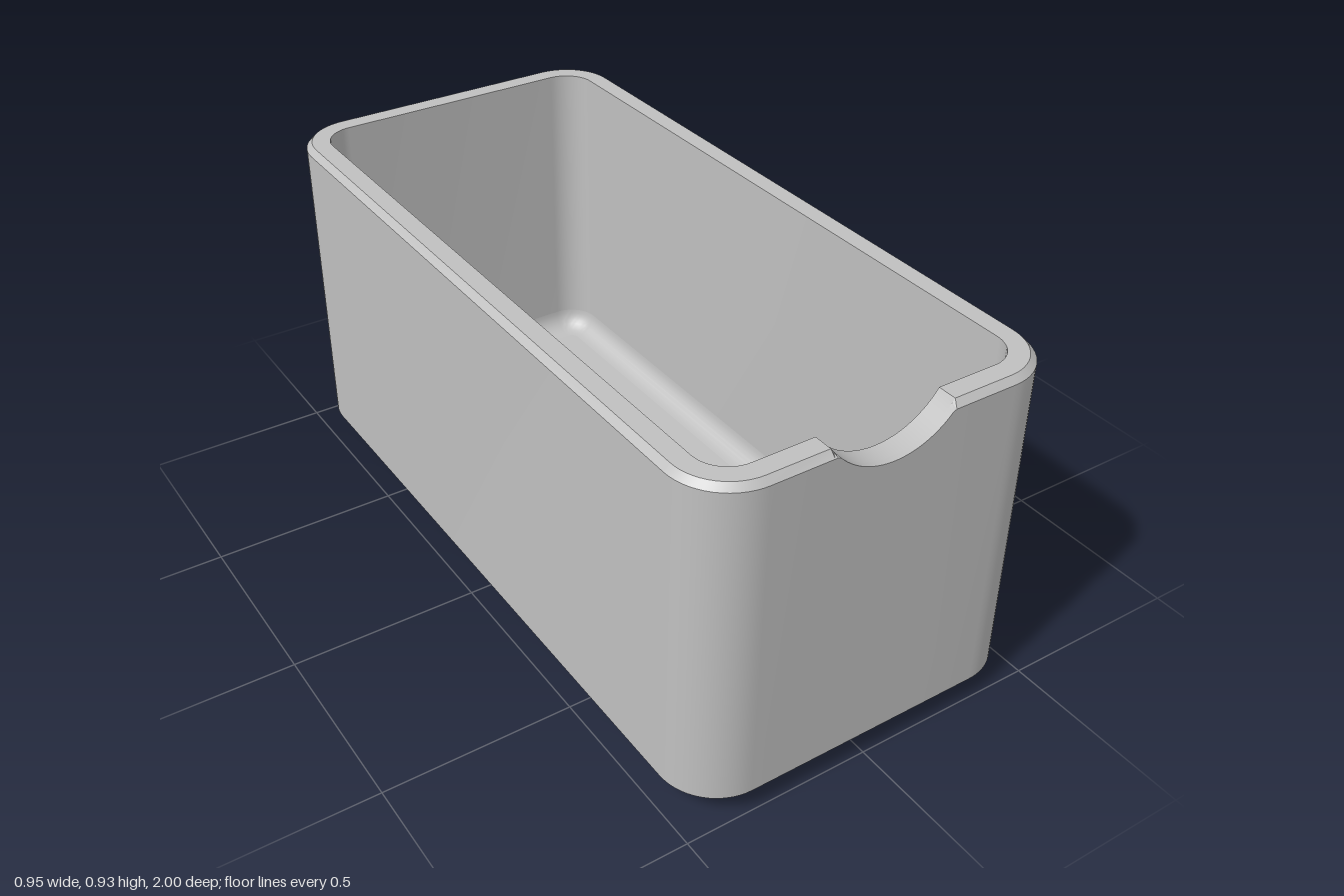
import * as THREE from 'three';
import { toCreasedNormals } from 'three/addons/utils/BufferGeometryUtils.js';

const HALF_X = 0.475, HALF_Z = 1, HEIGHT = 0.93;
const CORNER = 0.15, WALL = 0.065, FILLET = 0.06, FLOOR = 0.065;
const RIM = 0.016, BEVEL = 0.065;
const NOTCH_R = 0.2026, NOTCH_Y = 1.0476; // circle cut out of the front wall

// Plan outline as [x, z, onFrontEdge], shrunk by an inset
function outline(inset) {
  const cx = HALF_X - CORNER, cz = HALF_Z - CORNER, r = CORNER - inset;
  const points = [];
  const corner = (sx, sz, start) => {
    for (let i = 0; i <= 14; i++) {
      const a = start + (i / 14) * Math.PI / 2;
      points.push([sx * cx + r * Math.cos(a), sz * cz + r * Math.sin(a), false]);
    }
  };
  corner(1, 1, 0);
  // Extra columns along the front edge, evenly spaced round the notch arc
  const reach = Math.acos((NOTCH_Y - HEIGHT) / NOTCH_R);
  for (let i = 0; i <= 32; i++) {
    const a = reach * (1 - i / 16);
    points.push([NOTCH_R * Math.sin(a), cz + r, true]);
  }
  corner(-1, 1, Math.PI / 2);
  corner(-1, -1, Math.PI);
  corner(1, -1, Math.PI * 1.5);
  return points;
}

// Ring at a height, lowered to the notch where the notch cuts it
function ring([inset, y]) {
  return outline(inset).map(([x, z, front]) => {
    const cut = front ? NOTCH_Y - Math.sqrt(NOTCH_R ** 2 - x * x) : Infinity;
    return [x, Math.min(y, cut), z];
  });
}

// Skin between successive [inset, height] rings
function skin(profile) {
  const rings = profile.map(ring);
  const positions = [];
  for (let k = 0; k + 1 < rings.length; k++) {
    const a = rings[k], b = rings[k + 1];
    for (let i = 0; i < a.length; i++) {
      const j = (i + 1) % a.length;
      positions.push(...a[i], ...b[i], ...a[j], ...b[i], ...b[j], ...a[j]);
    }
  }
  const geometry = new THREE.BufferGeometry();
  geometry.setAttribute('position', new THREE.Float32BufferAttribute(positions, 3));
  return toCreasedNormals(geometry, 0.45);
}

// Flat horizontal panel facing up (1) or down (-1)
function panel(inset, y, facing) {
  const shape = new THREE.Shape(outline(inset).map(([x, z]) => new THREE.Vector2(x, -z)));
  return new THREE.ShapeGeometry(shape).rotateX(-facing * Math.PI / 2).translate(0, y, 0);
}

export function createModel() {
  const group = new THREE.Group();
  group.name = 'openBox';
  const grey = new THREE.MeshStandardMaterial({ color: 0xc0c0c0 });
  grey.name = 'grey';
  const add = (name, geometry) => {
    const mesh = new THREE.Mesh(geometry, grey);
    mesh.name = name;
    group.add(mesh);
  };

  // Outside: flat base, bevelled foot, wall and chamfered rim
  add('base', panel(BEVEL, 0, -1));
  add('bevelledFoot', skin([[BEVEL, 0], [0, BEVEL]]));
  add('outerWall', skin([[0, BEVEL], [0, HEIGHT - RIM]]));
  add('rimChamfer', skin([[0, HEIGHT - RIM], [RIM, HEIGHT]]));
  add('rim', skin([[RIM, HEIGHT], [WALL, HEIGHT]]));

  // Inside: wall, rounded floor edge and floor
  add('innerWall', skin([[WALL, HEIGHT], [WALL, FLOOR + FILLET]]));
  const rounding = [];
  for (let i = 0; i <= 8; i++) {
    const a = (i / 8) * Math.PI / 2;
    rounding.push([WALL + FILLET * (1 - Math.cos(a)), FLOOR + FILLET * (1 - Math.sin(a))]);
  }
  add('floorFillet', skin(rounding));
  add('floor', panel(WALL + FILLET, FLOOR, 1));
  return group;
}
